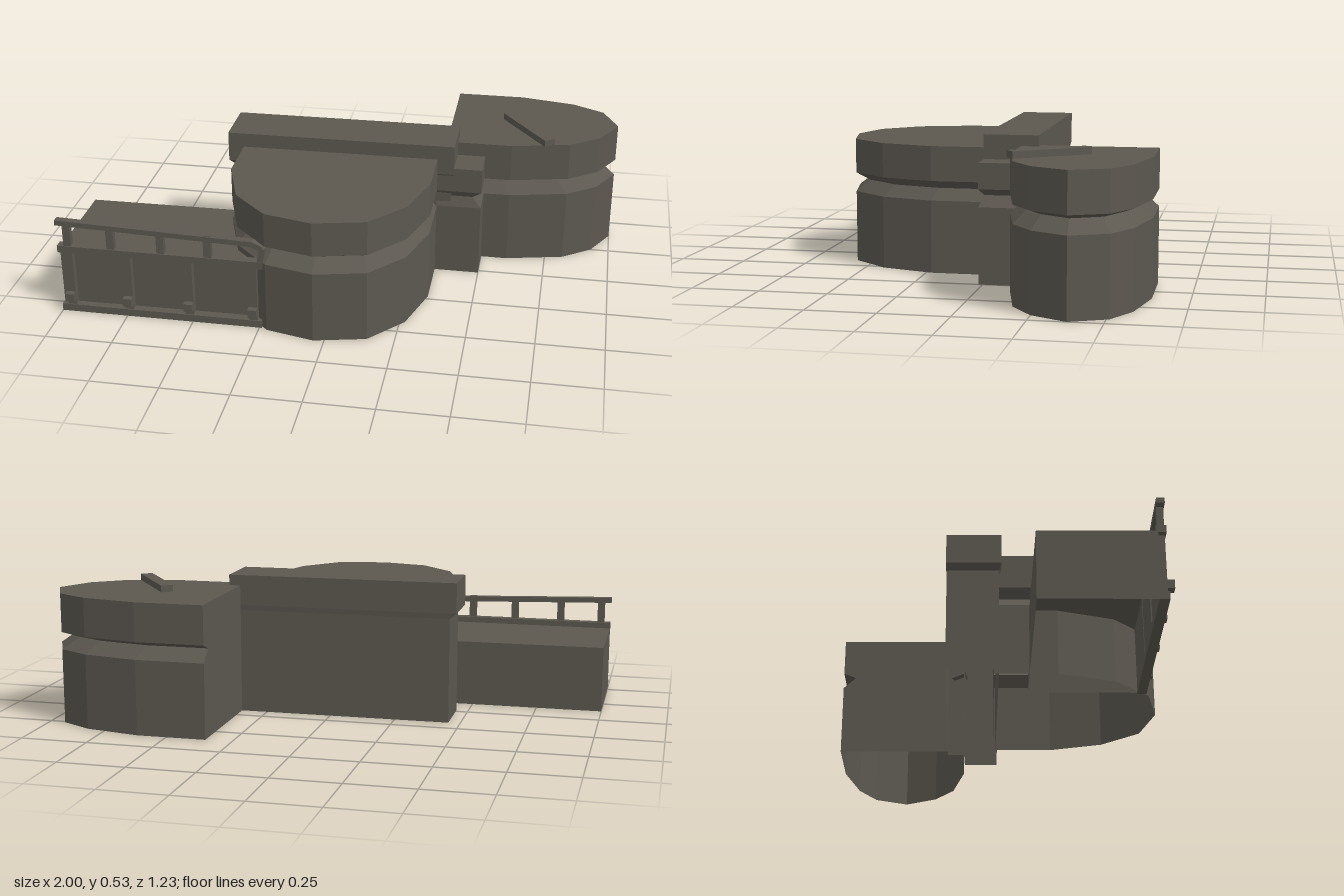
import * as THREE from 'three';

// Flat-faced shell through stacked rings ([x, z] outlines at height y), roofed and open below
function shell(rings) {
  const pos = [];
  const put = (p, y) => pos.push(p[0], y, p[1]);
  for (let r = 0; r < rings.length - 1; r++) {
    const [y0, lo] = rings[r];
    const [y1, hi] = rings[r + 1];
    lo.forEach((a, i) => {
      const j = (i + 1) % lo.length;
      put(a, y0); put(lo[j], y0); put(hi[j], y1);
      put(a, y0); put(hi[j], y1); put(hi[i], y1);
    });
  }
  const [top, roof] = rings[rings.length - 1];
  for (let i = 1; i < roof.length - 1; i++) {
    put(roof[0], top); put(roof[i], top); put(roof[i + 1], top);
  }
  const g = new THREE.BufferGeometry();
  g.setAttribute('position', new THREE.Float32BufferAttribute(pos, 3));
  g.computeVertexNormals();
  return g;
}

// Outline scaled about a centre, for the grooves
const inset = (outline, cx, cz, kx, kz) =>
  outline.map(([x, z]) => [cx + (x - cx) * kx, cz + (z - cz) * kz]);

// Four-sided outline, slightly skewed: z shifts by `skew` from the low-x to the high-x side
const quad = (x0, x1, z0, z1, skew = 0) =>
  [[x0, z0], [x0, z1], [x1, z1 - skew], [x1, z0 - skew]];

export function createModel() {
  const model = new THREE.Group();
  model.name = 'bunkerComplex';
  const concrete = new THREE.MeshStandardMaterial({ color: 0x5c5850 });
  concrete.name = 'dark concrete';
  concrete.side = THREE.DoubleSide;
  concrete.flatShading = true;

  const add = (name, geometry, parent = model) => {
    const m = new THREE.Mesh(geometry, concrete);
    m.name = name;
    parent.add(m);
    return m;
  };
  const box = (name, x0, x1, y0, y1, z0, z1, parent) => {
    const m = add(name, new THREE.BoxGeometry(x1 - x0, y1 - y0, z1 - z0), parent);
    m.position.set((x0 + x1) / 2, (y0 + y1) / 2, (z0 + z1) / 2);
    return m;
  };

  // Rounded front tower with a groove
  const front = [[-0.42, 0], [-0.42, 0.23], [-0.35, 0.44], [-0.22, 0.57], [-0.04, 0.613],
    [0.15, 0.57], [0.27, 0.43], [0.33, 0.23], [0.33, 0]];
  add('frontTower', shell([[0, front], [0.272, front],
    [0.315, inset(front, -0.04, 0, 0.9, 0.91)], [0.345, front], [0.475, front]]));

  // Rounded rear tower, flat on its inner side
  const rear = [[0.35, -0.615], [0.35, -0.12], [0.6, -0.12], [0.82, -0.17], [0.93, -0.25],
    [1, -0.38], [0.94, -0.51], [0.82, -0.575], [0.61, -0.617]];
  add('rearTower', shell([[0, rear], [0.28, rear],
    [0.325, inset(rear, 0.35, -0.37, 0.9, 0.8)], [0.345, rear], [0.49, rear]]));
  const hatchBar = add('roofBar', new THREE.BoxGeometry(0.3, 0.025, 0.045));
  hatchBar.position.set(0.655, 0.503, -0.267);
  hatchBar.rotation.y = -Math.atan2(0.25, 0.18);

  // Central block with an overhanging roof slab
  const wall = quad(-0.455, 0.385, -0.173, 0.018, 0.01);
  const slab = quad(-0.48, 0.393, -0.175, 0.027, 0.01);
  add('centralBlock', shell([[0, wall], [0.395, wall], [0.415, slab], [0.53, slab]]));

  // Grooved pillar between block and rear tower
  const pillar = quad(0.33, 0.5, -0.115, 0.015);
  add('sidePillar', shell([[0, pillar], [0.28, pillar],
    [0.32, inset(pillar, 0.33, -0.06, 0.8, 0.8)], [0.345, pillar], [0.44, pillar]]));

  // Low annex
  add('annex', shell([[0, quad(-1, -0.25, 0.133, 0.532, 0.008)],
    [0.25, quad(-1, -0.25, 0.133, 0.532, 0.008)]]));

  // Annex facade: ledges, poles and brackets
  const facade = new THREE.Group();
  facade.name = 'annexFacade';
  model.add(facade);
  box('upperLedge', -1, -0.23, 0.245, 0.272, 0.525, 0.56, facade);
  box('lowerLedge', -1, -0.24, 0, 0.028, 0.525, 0.56, facade);
  for (const x of [-0.962, -0.742, -0.512, -0.272]) {
    box('pole', x - 0.016, x + 0.016, 0.028, 0.245, 0.525, 0.556, facade);
    box('bracket', x - 0.016, x + 0.016, 0.05, 0.082, 0.55, 0.58, facade);
  }

  // Handrail with posts and a bent end
  const rail = new THREE.Group();
  rail.name = 'handrail';
  model.add(rail);
  for (const x of [-0.962, -0.798, -0.61, -0.435]) {
    box('railPost', x - 0.014, x + 0.014, 0.27, 0.36, 0.532, 0.556, rail);
  }
  const path = [[-1, 0.365], [-0.27, 0.342], [-0.233, 0.325], [-0.243, 0.26]];
  for (let i = 0; i < path.length - 1; i++) {
    const [x0, y0] = path[i];
    const [x1, y1] = path[i + 1];
    const bar = add('railBar', new THREE.BoxGeometry(Math.hypot(x1 - x0, y1 - y0) + 0.004, 0.02, 0.028), rail);
    bar.position.set((x0 + x1) / 2, (y0 + y1) / 2, 0.545);
    bar.rotation.z = Math.atan2(y1 - y0, x1 - x0);
  }
  return model;
}
